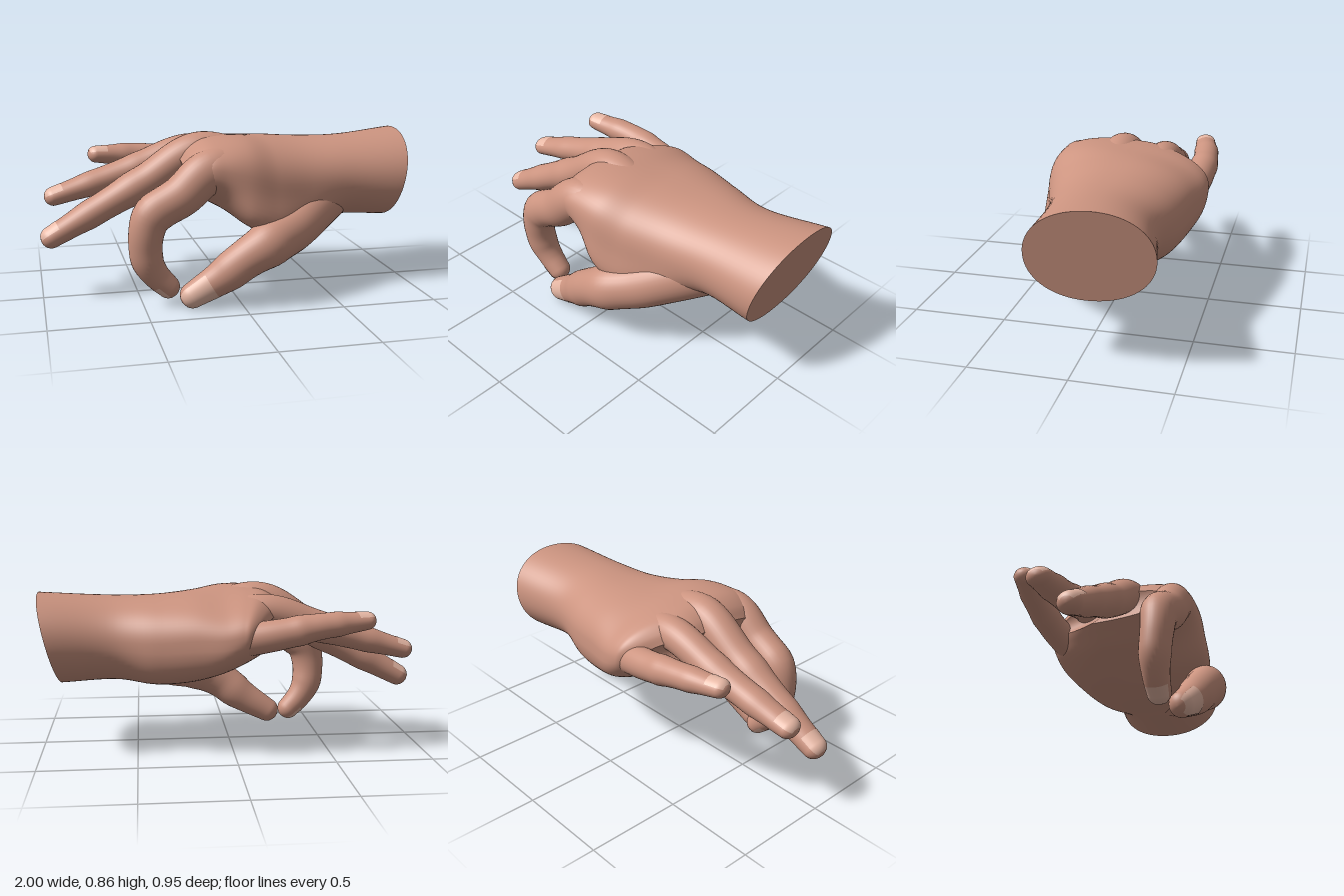
import * as THREE from 'three';

const V = (x, y, z) => new THREE.Vector3(x, y, z);
const skin = new THREE.MeshStandardMaterial({ color: 0xcc9480 });
const nailMat = new THREE.MeshStandardMaterial({ color: 0xe8b9a6, side: THREE.DoubleSide });

// Skin a list of rings; closed rings wrap round and get a fan cap at both ends
function loft(rings, closed, sharpCaps) {
  const pos = [], idx = [], n = rings[0].length;
  const add = (p) => pos.push(p.x, p.y, p.z);
  rings.forEach((r) => r.forEach(add));
  for (let i = 0; i < rings.length - 1; i++) {
    for (let j = 0; j < (closed ? n : n - 1); j++) {
      const a = i * n + j, b = i * n + (j + 1) % n;
      idx.push(a, b, a + n, b, b + n, a + n);
    }
  }
  const cap = (row, flip) => {
    const base = sharpCaps ? pos.length / 3 : row * n;
    if (sharpCaps) rings[row].forEach(add);
    const m = pos.length / 3;
    add(rings[row].reduce((s, p) => s.add(p), V(0, 0, 0)).divideScalar(n));
    for (let j = 0; j < n; j++) {
      const a = base + j, b = base + (j + 1) % n;
      idx.push(m, flip ? b : a, flip ? a : b);
    }
  };
  if (closed) {
    cap(0, true);
    cap(rings.length - 1, false);
  }
  const g = new THREE.BufferGeometry();
  g.setAttribute('position', new THREE.Float32BufferAttribute(pos, 3));
  g.setIndex(idx);
  g.computeVertexNormals();
  return g;
}

function mesh(name, geometry, material) {
  const m = new THREE.Mesh(geometry, material);
  m.name = name;
  return m;
}

// A finger follows a curve from inside the palm to the tip and ends in a dome.
// width and thick are [base, tip] half sizes, side is the direction of the width,
// joints are the places along the curve where it swells.
function finger({ name, points, width, thick, joints, nailStart, side = V(0, 0, 1) }) {
  const path = new THREE.CatmullRomCurve3(points.map((p) => V(...p)));
  // u runs 0..1 along the path and 1..2 over the dome
  const ring = (u, from, to, count, grow) => {
    const t = Math.min(u, 1), a = Math.max(0, u - 1) * Math.PI / 2;
    const swell = joints.reduce((s, j) => s + 0.06 * Math.exp(-(((t - j) / 0.05) ** 2)), 1);
    const [w, h] = [width, thick].map(([base, tip]) => (base + (tip - base) * t * t) * swell * grow);
    const c = path.getPointAt(t), T = path.getTangentAt(t);
    const S = side.clone().addScaledVector(T, -side.dot(T)).normalize();
    const U = T.clone().cross(S);
    c.addScaledVector(T, h * Math.sin(a));
    return Array.from({ length: count }, (_, j) => {
      const f = from + (to - from) * j / count;
      return c.clone().addScaledVector(S, w * Math.cos(a) * Math.cos(f))
        .addScaledVector(U, h * Math.cos(a) * Math.sin(f));
    });
  };
  const body = [], nail = [];
  for (let i = 0; i <= 48; i++) body.push(ring(i / 48, 0, Math.PI * 2, 32, 1));
  for (let i = 1; i <= 8; i++) body.push(ring(1 + i / 8.5, 0, Math.PI * 2, 32, 1));
  for (let i = 0; i <= 12; i++) {
    nail.push(ring(nailStart + (1.62 - nailStart) * i / 12, 0.5, Math.PI - 0.4, 14, 1.025));
  }
  const g = new THREE.Group();
  g.name = name;
  g.add(mesh(name + 'Flesh', loft(body, true, false), skin));
  g.add(mesh(name + 'Nail', loft(nail, false, false), nailMat));
  return g;
}

// Palm and wrist as rounded boxes, knuckles to wrist: x, back z, front z, top y, bottom y,
// extra height and rise toward the front, roundness, swell of the ball of the thumb
const SECTIONS = [
  [-0.28, -0.38, 0.27, 0.74, 0.59, 0, 0.01, 0.9, 0],
  [-0.24, -0.44, 0.32, 0.79, 0.56, 0, 0.02, 0.9, 0],
  [-0.17, -0.47, 0.365, 0.83, 0.51, 0, 0.03, 0.9, 0],
  [-0.08, -0.475, 0.375, 0.84, 0.465, 0.05, 0.03, 0.87, 0.03],
  [0.05, -0.47, 0.37, 0.835, 0.41, 0.13, 0.02, 0.85, 0.25],
  [0.2, -0.44, 0.33, 0.825, 0.365, 0.05, 0, 0.87, 0.33],
  [0.4, -0.4, 0.27, 0.81, 0.35, 0, 0, 0.9, 0.22],
  [0.62, -0.35, 0.23, 0.81, 0.37, 0, 0, 0.95, 0],
  [0.94, -0.4, 0.22, 0.835, 0.36, 0, -0.02, 0.95, 0],
];

function palmGeometry() {
  const round = (v, e) => Math.sign(v) * Math.abs(v) ** e;
  const bump = (a, at) => Math.exp(-(((a / Math.PI - at) / 0.15) ** 2));
  const lines = Array.from({ length: 72 }, (_, j) => {
    const a = Math.PI * 2 * j / 72;
    return new THREE.CatmullRomCurve3(SECTIONS.map(([x, back, front, top, bottom, taper, rise, e, ball]) => {
      // ball of the thumb below the front, a softer heel below the back
      const k = 1 + ball * (bump(a, 1.25) + 0.25 * bump(a, 1.75));
      const s = -round(Math.cos(a), e) * k;
      const z = (back + front) / 2 + s * (front - back) / 2;
      const y = (top + bottom) / 2 + rise * s
        + (top - bottom) / 2 * (1 + taper * s) * round(Math.sin(a), e) * k;
      // slanted wrist cut, and knuckles that step back toward the little finger
      const lean = 0.237 * Math.max(0, (x - 0.4) / 0.54) * (y - 0.6);
      const step = 2 * Math.max(0, -x) * Math.max(0, -z - 0.15);
      return V(x + lean + step, y, z);
    }));
  });
  const rings = Array.from({ length: 61 }, (_, i) => lines.map((l) => l.getPoint(i / 60)));
  return loft(rings, true, true);
}

const FINGERS = [
  {
    name: 'littleFinger', width: [0.08, 0.056], thick: [0.085, 0.046], joints: [0.55, 0.8], nailStart: 0.93,
    points: [[0.1, 0.59, -0.36], [-0.2, 0.64, -0.4], [-0.42, 0.68, -0.4], [-0.67, 0.7, -0.36]],
  },
  {
    name: 'ringFinger', width: [0.092, 0.065], thick: [0.092, 0.05], joints: [0.58, 0.82], nailStart: 0.95,
    points: [[0.15, 0.66, -0.19], [-0.17, 0.735, -0.2], [-0.5, 0.635, -0.19], [-0.92, 0.515, -0.155]],
  },
  {
    name: 'middleFinger', width: [0.105, 0.066], thick: [0.1, 0.057], joints: [0.6, 0.82], nailStart: 0.95,
    points: [[0.15, 0.69, 0.03], [-0.17, 0.765, 0.02], [-0.45, 0.61, 0.015], [-0.945, 0.335, 0.02]],
  },
  {
    // curls down to meet the thumb
    name: 'indexFinger', width: [0.105, 0.062], thick: [0.117, 0.06], joints: [0.58, 0.82], nailStart: 0.95,
    points: [[0.08, 0.66, 0.22], [-0.15, 0.695, 0.265], [-0.3, 0.58, 0.28], [-0.45, 0.485, 0.28],
      [-0.485, 0.39, 0.28], [-0.48, 0.25, 0.265], [-0.435, 0.165, 0.255], [-0.372, 0.098, 0.25]],
  },
  {
    name: 'thumb', width: [0.14, 0.067], thick: [0.13, 0.064], joints: [0.58, 0.8], nailStart: 0.9,
    side: V(0, -1, 0),
    points: [[0.62, 0.53, -0.02], [0.4, 0.43, 0.18], [0.28, 0.37, 0.27], [0.14, 0.32, 0.35],
      [0.02, 0.255, 0.36], [-0.1, 0.165, 0.345], [-0.26, 0.068, 0.33]],
  },
];

export function createModel() {
  const hand = new THREE.Group();
  hand.name = 'hand';
  hand.add(mesh('palmAndWrist', palmGeometry(), skin));
  FINGERS.forEach((f) => hand.add(finger(f)));
  return hand;
}
